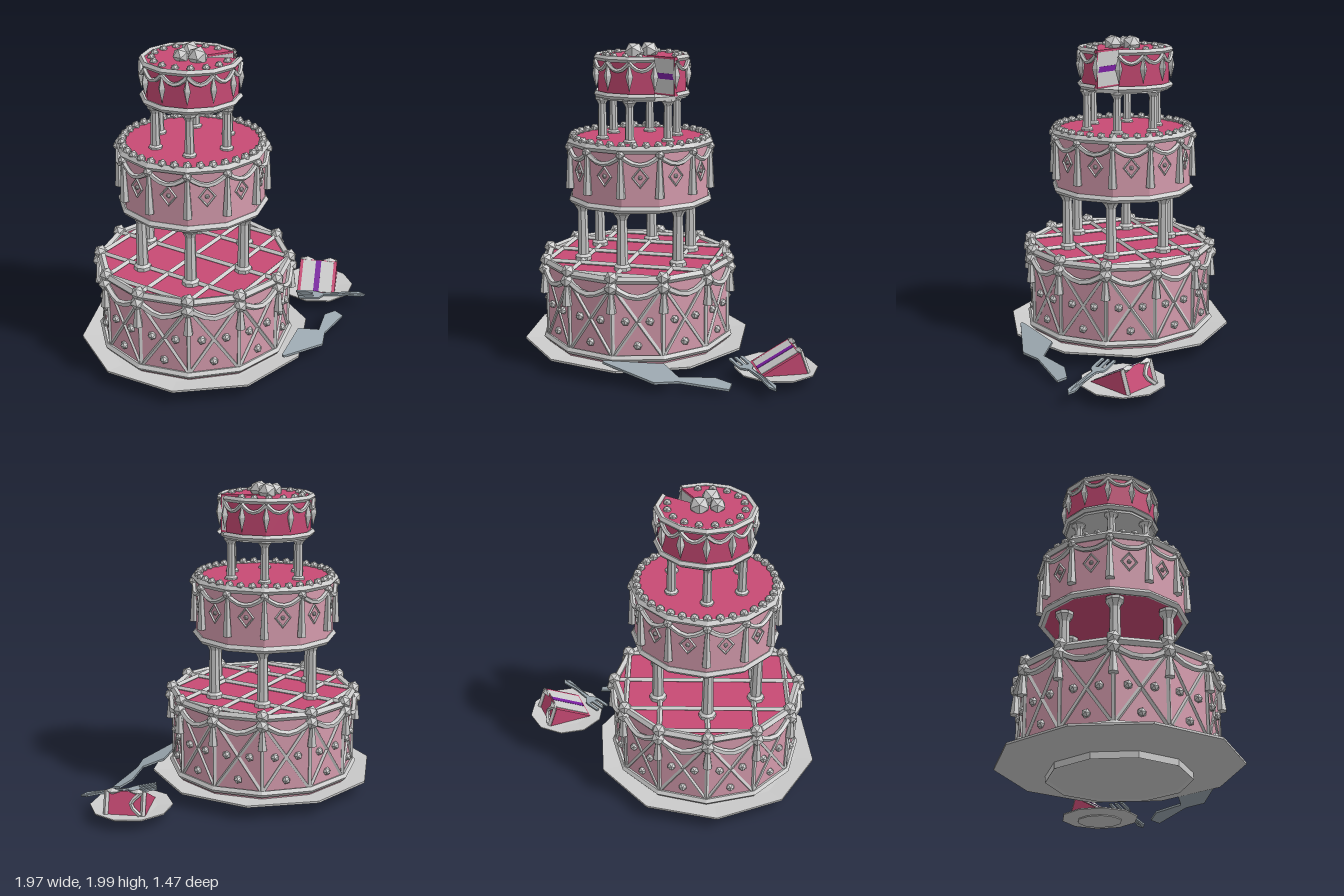
import * as THREE from 'three';

const V = (x, y, z) => new THREE.Vector3(x, y, z);
const rad = THREE.MathUtils.degToRad;
const mat = (color, side = THREE.FrontSide) => new THREE.MeshStandardMaterial({ color, flatShading: true, side });
const GREY = mat(0xcccccc), THIN = mat(0xcccccc, THREE.DoubleSide);
const CRIMSON = mat(0xc74a74), PINK = mat(0xd69cae), PURPLE = mat(0x7a1fa0), STEEL = mat(0x9aa6ae);

// point on a circle: angle in degrees from +x towards +z
const P = (deg, r, y) => V(r * Math.cos(rad(deg)), y, r * Math.sin(rad(deg)));

function add(parent, name, geometry, material, pos) {
  const mesh = new THREE.Mesh(geometry, material);
  mesh.name = name;
  if (pos) mesh.position.copy(pos);
  parent.add(mesh);
  return mesh;
}
const bar = (g, name, a, b, r) =>
  add(g, name, new THREE.TubeGeometry(new THREE.LineCurve3(a, b), 1, r, 4), THIN);
const bead = (g, name, pos, r) => add(g, name, new THREE.IcosahedronGeometry(r, 0), GREY, pos);

// piped ring with twelve sides, optionally leaving out the cut wedge
function ring(g, name, r, y, tube, gap = false) {
  const geo = new THREE.TorusGeometry(r, tube, 5, gap ? 11 : 12, rad(gap ? 330 : 360));
  if (gap) geo.rotateZ(rad(60));
  add(g, name, geo.rotateX(Math.PI / 2), THIN, V(0, y, 0));
}

// hanging swag between two corners
function swag(g, deg, r, y, sag, tube) {
  const mid = P(deg + 15, r * 1.0, y - sag);
  const q1 = P(deg, r, y).lerp(mid, 0.5), q2 = P(deg + 30, r, y).lerp(mid, 0.5);
  q1.y -= sag * 0.25; q2.y -= sag * 0.25;
  const curve = new THREE.CatmullRomCurve3([P(deg, r, y), q1, mid, q2, P(deg + 30, r, y)]);
  add(g, 'swag', new THREE.TubeGeometry(curve, 6, tube, 5), THIN);
}

function tassel(g, deg, r, top, bottom, w) {
  add(g, 'tassel', new THREE.CylinderGeometry(w * 0.4, w, top - bottom, 6), GREY, P(deg, r, (top + bottom) / 2));
}

function pillars(g, r, y0, y1, w) {
  const h = y1 - y0;
  const profile = [[0, 0], [1.5, 0], [1.5, .06], [1.05, .1], [.9, .84], [1.2, .9], [1.6, .95], [1.6, 1], [0, 1]]
    .map(([x, y]) => new THREE.Vector2(x * w, y * h));
  for (let i = 0; i < 6; i++) add(g, 'pillar', new THREE.LatheGeometry(profile, 8), THIN, P(30 + i * 60, r, y0));
}

function tier(root, name, x, z) {
  const g = new THREE.Group();
  g.name = name;
  g.position.set(x, 0, z);
  g.rotation.y = rad(4.4);
  root.add(g);
  return g;
}

function bottomTier(root) {
  const g = tier(root, 'bottomTier', -0.265, -0.02), R = 0.595;
  add(g, 'cakeBody', new THREE.CylinderGeometry(R, R, 0.54, 12), [PINK, CRIMSON, CRIMSON], V(0, 0.35, 0));
  ring(g, 'lowerBorder', R + 0.01, 0.125, 0.022);
  ring(g, 'upperBorder', R, 0.62, 0.025);
  for (let k = 1; k < 6; k++) { // icing grid on the top
    bar(g, 'topLattice', P(k * 30, R, 0.628), P(-k * 30, R, 0.628), 0.017);
    bar(g, 'topLattice', P(90 + k * 30, R, 0.628), P(90 - k * 30, R, 0.628), 0.017);
  }
  for (let i = 0; i < 12; i++) {
    const a = i * 30, b = a + 30;
    bar(g, 'cornerStrip', P(a, R, 0.12), P(a, R, 0.6), 0.014);
    bar(g, 'sideLattice', P(a, R, 0.13), P(b, R, 0.58), 0.013);
    bar(g, 'sideLattice', P(b, R, 0.13), P(a, R, 0.58), 0.013);
    for (const [t, y] of [[0.26, 0.36], [0.74, 0.36], [0.5, 0.205]])
      bead(g, 'stud', P(a, R + 0.005, y).lerp(P(b, R + 0.005, y), t), 0.028);
    swag(g, a, R + 0.015, 0.59, 0.07, 0.02);
    tassel(g, a, R + 0.02, 0.56, 0.42, 0.032);
    bead(g, 'cornerKnob', P(a, R + 0.015, 0.575), 0.045);
    bead(g, 'rimKnob', P(a, R + 0.005, 0.635), 0.045);
  }
  pillars(g, 0.36, 0.62, 1.0, 0.036);
}

function middleTier(root) {
  const g = tier(root, 'middleTier', -0.25, -0.04), R = 0.445;
  add(g, 'cakeBody', new THREE.CylinderGeometry(R, R, 0.39, 12), [PINK, CRIMSON, CRIMSON], V(0, 1.2, 0));
  ring(g, 'lowerBorder', R, 1.015, 0.023);
  ring(g, 'upperBorder', R + 0.005, 1.385, 0.025);
  for (let i = 0; i < 36; i++) bead(g, 'rimBead', P(i * 10, 0.428, 1.408), 0.029);
  for (let i = 0; i < 12; i++) {
    const a = i * 30;
    swag(g, a, R + 0.012, 1.35, 0.055, 0.016);
    tassel(g, a, R + 0.012, 1.36, 1.09, 0.03);
    bead(g, 'cornerKnob', P(a, R + 0.015, 1.355), 0.03);
    const diamond = new THREE.Group(); // diamond ornament on the face
    diamond.name = 'diamond';
    diamond.position.copy(P(a + 15, R * Math.cos(rad(15)) + 0.004, 1.215));
    diamond.rotation.y = Math.PI / 2 - rad(a + 15);
    add(diamond, 'diamondFrame', new THREE.TorusGeometry(0.058, 0.009, 4, 4), GREY).scale.x = 0.8;
    bead(diamond, 'diamondStud', V(0, 0, 0), 0.015);
    g.add(diamond);
  }
  pillars(g, 0.245, 1.39, 1.66, 0.028);
}

function topTier(root) {
  const g = tier(root, 'topTier', -0.24, -0.055), R = 0.285;
  add(g, 'board', new THREE.CylinderGeometry(R, R, 0.025, 12), GREY, V(0, 1.665, 0));
  add(g, 'cakeBody', new THREE.CylinderGeometry(R, R, 0.24, 11, 1, false, rad(-300), rad(330)), CRIMSON, V(0, 1.795, 0));
  // the two cut faces with their filling
  for (const a of [30, 60]) {
    const cut = new THREE.Group();
    cut.name = 'cutFace';
    cut.position.copy(P(a, R / 2, 1.795));
    cut.rotation.y = -rad(a);
    add(cut, 'icingEdge', new THREE.BoxGeometry(R, 0.24, 0.004), CRIMSON);
    add(cut, 'sponge', new THREE.BoxGeometry(R - 0.012, 0.215, 0.008), GREY);
    add(cut, 'filling', new THREE.BoxGeometry(R - 0.012, 0.036, 0.012), PURPLE);
    g.add(cut);
  }
  ring(g, 'lowerBorder', R + 0.007, 1.682, 0.02, true);
  ring(g, 'upperBorder', R + 0.005, 1.908, 0.02, true);
  for (let i = 0; i < 12; i++) {
    const a = 60 + i * 30;
    if (i < 11) swag(g, a, R + 0.014, 1.89, 0.05, 0.014);
    add(g, 'pendant', new THREE.OctahedronGeometry(1), GREY, P(a, R + 0.012, 1.805)).scale.set(0.024, 0.09, 0.024);
  }
  for (let i = 0; i < 16; i++) {
    const a = i * 22.5 + 11;
    if (a < 25 || a > 65) bead(g, 'topBead', P(a, 0.232, 1.918), 0.026);
  }
  for (const [x, z, r] of [[-0.065, -0.025, 0.052], [0.04, -0.03, 0.064], [-0.03, 0.07, 0.064]])
    add(g, 'topBall', new THREE.IcosahedronGeometry(r, 0), GREY, V(x, 1.937, z));
}

// footed dish with ten sides
function dish(root, name, profile, pos) {
  return add(root, name, new THREE.LatheGeometry(profile.map(p => new THREE.Vector2(...p)), 10), THIN, pos);
}

// thin cutlery outline given in x,z and laid on a sloping plane
function flatPiece(root, name, outline, thickness, height) {
  const shape = new THREE.Shape(outline.map(([x, z]) => new THREE.Vector2(x, -z)));
  const geo = new THREE.ExtrudeGeometry(shape, { depth: thickness, bevelEnabled: false }).rotateX(-Math.PI / 2);
  const p = geo.attributes.position;
  for (let i = 0; i < p.count; i++) p.setY(i, p.getY(i) + height(p.getX(i), p.getZ(i)));
  geo.computeVertexNormals();
  return add(root, name, geo, STEEL);
}

function slice(root) {
  const g = new THREE.Group();
  g.name = 'cakeSlice';
  g.position.set(0.56, 0.07, 0.23);
  g.rotation.y = rad(28);
  const wedge = new THREE.Shape([[0, 0], [0.29, 0], [0.24, 0.135]].map(p => new THREE.Vector2(...p)));
  add(g, 'sliceBody', new THREE.ExtrudeGeometry(wedge, { depth: 0.26, bevelEnabled: false }), CRIMSON);
  for (const [name, w, t, m] of [['sponge', 0.215, 0.008, GREY], ['filling', 0.038, 0.012, PURPLE]])
    add(g, name, new THREE.BoxGeometry(0.255, t, w), m, V(0.121, 0.068, 0.13)).rotation.z = Math.atan2(0.135, 0.24);
  // piping left on the outer side
  for (const z of [0.015, 0.245]) bar(g, 'slicePiping', V(0.245, 0.14, z), V(0.295, 0, z), 0.016);
  const curve = new THREE.CatmullRomCurve3([V(0.25, 0.135, 0.03), V(0.28, 0.07, 0.09), V(0.3, 0.005, 0.03)]);
  add(g, 'sliceSwag', new THREE.TubeGeometry(curve, 6, 0.014, 5), THIN);
  for (const z of [0.05, 0.21])
    add(g, 'slicePendant', new THREE.OctahedronGeometry(1), GREY, V(0.248, 0.135, z)).scale.set(0.022, 0.022, 0.055);
  root.add(g);
}

export function createModel() {
  const root = new THREE.Group();
  root.name = 'tieredCake';

  dish(root, 'cakePlate', [[0, 0.01], [0.41, 0.01], [0.43, 0], [0.43, 0.04], [0.735, 0.085], [0.735, 0.098],
    [0.62, 0.088], [0, 0.085]], V(-0.268, 0, -0.016)).rotation.y = rad(9.2);
  bottomTier(root);
  middleTier(root);
  topTier(root);

  dish(root, 'smallPlate', [[0, 0.048], [0.15, 0.048], [0.15, 0.055], [0.257, 0.068], [0.257, 0.076],
    [0.16, 0.066], [0, 0.066]], V(0.732, 0, 0.276));
  slice(root);

  flatPiece(root, 'cakeServer', [[-0.25, 0.65], [0.1, 0.54], [0.22, 0.625], [0.42, 0.545], [0.53, 0.56], [0.53, 0.62],
    [0.23, 0.665], [0.1, 0.73], [-0.25, 0.665]], 0.014, (x, z) => 0.125 - 0.14 * (x + 0.25) - 0.25 * (z - 0.64));

  // fork: outline along its length, then turned into place
  const tines = [];
  for (let i = 0; i < 3; i++) tines.push([0.11, -0.05 + i * 0.04], [0, -0.05 + i * 0.04], [0, -0.03 + i * 0.04], [0.11, -0.03 + i * 0.04]);
  const fork = flatPiece(root, 'fork', [...tines, [0.14, 0.045], [0.18, 0.013], [0.3, 0.013], [0.44, 0.026], [0.48, 0],
    [0.44, -0.026], [0.3, -0.013], [0.18, -0.013], [0.14, -0.045]], 0.012,
  (x) => (x < 0.14 ? 0.1 - x * 0.12 : 0.083 + Math.sin((x - 0.14) * 8) * 0.015 - (x - 0.14) * 0.08));
  fork.position.set(0.48, 0, 0.285);
  fork.rotation.y = rad(-46);
  return root;
}
